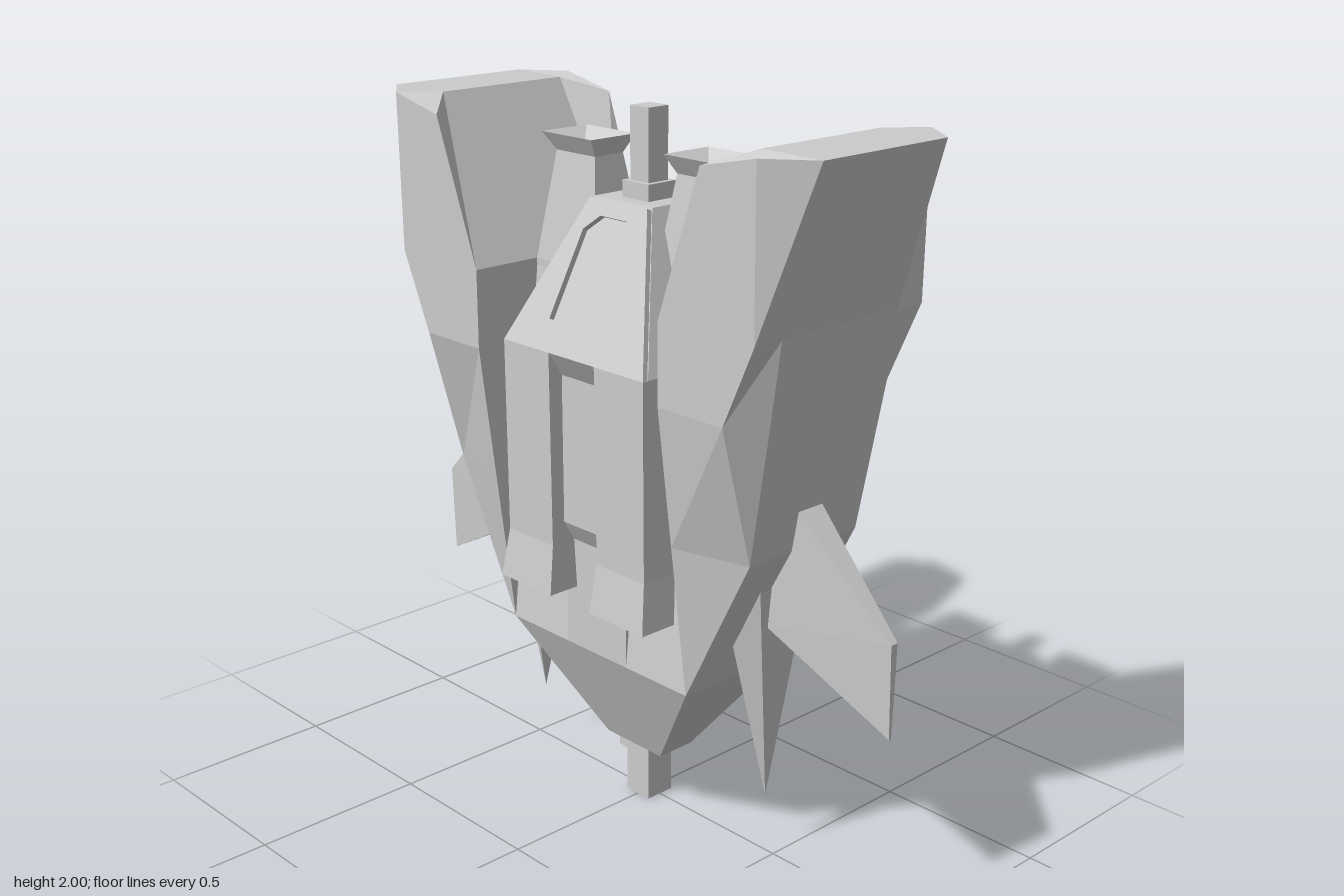
import * as THREE from 'three';
import { ConvexGeometry } from 'three/addons/geometries/ConvexGeometry.js';

const material = new THREE.MeshStandardMaterial({ color: 0xcccccc, flatShading: true });

function add(parent, name, geometry) {
  const mesh = new THREE.Mesh(geometry, material);
  mesh.name = name;
  parent.add(mesh);
  return mesh;
}

// Skin over rings of [x, y, z] points (clockwise from above), capped at both ends
function loft(rings) {
  const out = [];
  const tri = (a, b, c) => out.push(...a, ...b, ...c);
  for (let r = 0; r < rings.length - 1; r++) {
    const lo = rings[r], hi = rings[r + 1], n = lo.length;
    for (let i = 0; i < n; i++) {
      const j = (i + 1) % n;
      tri(lo[i], hi[i], lo[j]);
      tri(lo[j], hi[i], hi[j]);
    }
  }
  const cap = (ring, up) => {
    const flat = ring.map(p => new THREE.Vector2(p[0], p[2]));
    if (Math.abs(THREE.ShapeUtils.area(flat)) < 1e-6) return;
    for (const [i, j, k] of THREE.ShapeUtils.triangulateShape(flat, [])) {
      const a = ring[i], b = ring[j], c = ring[k];
      const ny = (b[2] - a[2]) * (c[0] - a[0]) - (b[0] - a[0]) * (c[2] - a[2]);
      if ((ny > 0) === up) tri(a, b, c); else tri(a, c, b);
    }
  };
  cap(rings[0], false);
  cap(rings[rings.length - 1], true);
  const g = new THREE.BufferGeometry();
  g.setAttribute('position', new THREE.Float32BufferAttribute(out, 3));
  g.computeVertexNormals();
  return g;
}

// Rectangular rings: by bounds, or by centre and half sizes
const rect = (y, x0, x1, z0, z1) => [[x0, y, z0], [x1, y, z0], [x1, y, z1], [x0, y, z1]];
const slab = (y, hx, hz, cx = 0) => rect(y, cx - hx, cx + hx, -hz, hz);
const hull = pts => new ConvexGeometry(pts.map(p => new THREE.Vector3(...p)));

// Pod section from its inner (I), front (F), outer (O) and mid-inner (M) corners, mirrored in z
function podRing(I, F, O, M = [I[0], I[1], I[2] * 0.69]) {
  const back = ([x, y, z]) => [x, y, -z];
  return [back(M), back(I), back(F), back(O), O, F, I, M];
}

// Everything on one side, built on +x
function buildSide(side) {
  const root = [0.355, 0.5, 0.2];
  const knee = [0.58, 0.94, 0.2];
  add(side, 'wingPod', loft([
    podRing(root, root, root),
    podRing([0.355, 0.94, 0.256], knee, knee),
    podRing([0.355, 1.33, 0.305], [0.58, 1.33, 0.305], [0.645, 1.33, 0.206]),
    podRing([0.355, 1.55, 0.305], [0.68, 1.55, 0.305], [0.68, 1.55, 0.21]),
    podRing([0.5, 1.95, 0.31], [0.68, 1.99, 0.31], [0.8, 1.99, 0.22], [0.6, 1.99, 0.21]),
  ]));

  // Swept fin, thick at the root and thin at the tip
  const fin = [];
  const spike = [[0.465, 0.17, 0]];
  for (const s of [-1, 1]) {
    fin.push([0.59, 1.06, 0.045 * s], [0.89, 0.77, 0.012 * s], [0.89, 0.505, 0.004 * s],
      [0.5, 0.71, 0.055 * s], [0.45, 0.85, 0.055 * s]);
    spike.push([0.52, 0.82, 0.095 * s], [0.425, 0.635, 0.095 * s]);
  }
  add(side, 'sweptFin', hull(fin));
  add(side, 'spikeFin', hull(spike));

  // Tower with a flared, dished mouth
  add(side, 'cannon', loft([
    slab(1.5, 0.122, 0.092, 0.233),
    slab(1.55, 0.122, 0.092, 0.233),
    slab(1.85, 0.078, 0.05, 0.235),
    slab(1.9, 0.1, 0.08, 0.238),
    slab(1.865, 0.05, 0.03, 0.238),
  ]));
}

// Raised shell on the front or back, built facing +z
function buildShell(shell, withCanopy) {
  for (const s of [-1, 1]) {
    const leg = (y, a, b, z) => rect(y, Math.min(a * s, b * s), Math.max(a * s, b * s), 0.12, z);
    add(shell, 'leg', loft([
      leg(0.68, 0.08, 0.29, 0.297),
      leg(0.82, 0.09, 0.275, 0.277),
      leg(1.37, 0.09, 0.275, 0.28),
    ]));
  }
  add(shell, 'slotFloor', loft([
    rect(0.82, -0.09, 0.09, 0.1, 0.2),
    rect(0.88, -0.091, 0.091, 0.1, 0.235),
    rect(1.3, -0.091, 0.091, 0.1, 0.235),
    rect(1.37, -0.091, 0.091, 0.1, 0.28),
  ]));
  add(shell, 'shoulder', loft([
    rect(1.37, -0.275, 0.275, 0.18, 0.262),
    rect(1.76, -0.11, 0.11, 0, 0.092),
  ]));

  // Sloping cover plate; the canopy is a shallow opening in it
  const rise = 0.39, run = 0.17, length = Math.hypot(rise, run);
  const polygon = pts => pts.map(p => new THREE.Vector2(...p));
  const plate = new THREE.Shape(polygon([[-0.275, 0], [0.275, 0], [0.11, length], [-0.11, length]]));
  if (withCanopy) {
    plate.holes.push(new THREE.Path(polygon([
      [-0.125, 0.087], [-0.1, 0.338], [-0.05, 0.382], [0.05, 0.382], [0.1, 0.338], [0.125, 0.087],
    ])));
  }
  const g = new THREE.ExtrudeGeometry(plate, { depth: 0.018, bevelEnabled: false });
  g.translate(0, 0, -0.018);
  const cover = add(shell, withCanopy ? 'canopyPlate' : 'coverPlate', g);
  cover.position.set(0, 1.37, 0.28);
  cover.rotation.x = -Math.atan2(run, rise);
}

export function createModel() {
  const model = new THREE.Group();
  model.name = 'spacecraft';

  // Centre body
  add(model, 'coreHull', loft([slab(0.17, 0.11, 0.06), slab(0.5, 0.355, 0.2), slab(1.55, 0.355, 0.09)]));
  add(model, 'spine', loft([slab(0.5, 0.12, 0.2), slab(1.37, 0.12, 0.2)]));

  // Hollow nozzle below, mast above
  add(model, 'nozzleCollar', loft([slab(0.145, 0.06, 0.06), slab(0.18, 0.06, 0.06)]));
  add(model, 'nozzle', loft([
    slab(0.06, 0.03, 0.03), slab(0, 0.03, 0.03), slab(0, 0.045, 0.045), slab(0.15, 0.045, 0.045),
  ]));
  add(model, 'mastBase', loft([slab(1.755, 0.05, 0.05), slab(1.805, 0.05, 0.05)]));
  add(model, 'mast', loft([slab(1.8, 0.035, 0.035), slab(2, 0.035, 0.035)]));

  // Half turns supply the opposite side and the back
  for (const turn of [0, Math.PI]) {
    const side = new THREE.Group();
    side.name = turn ? 'rightSide' : 'leftSide';
    buildSide(side);
    const shell = new THREE.Group();
    shell.name = turn ? 'backShell' : 'frontShell';
    buildShell(shell, turn === 0);
    side.rotation.y = shell.rotation.y = turn;
    model.add(side, shell);
  }
  return model;
}
